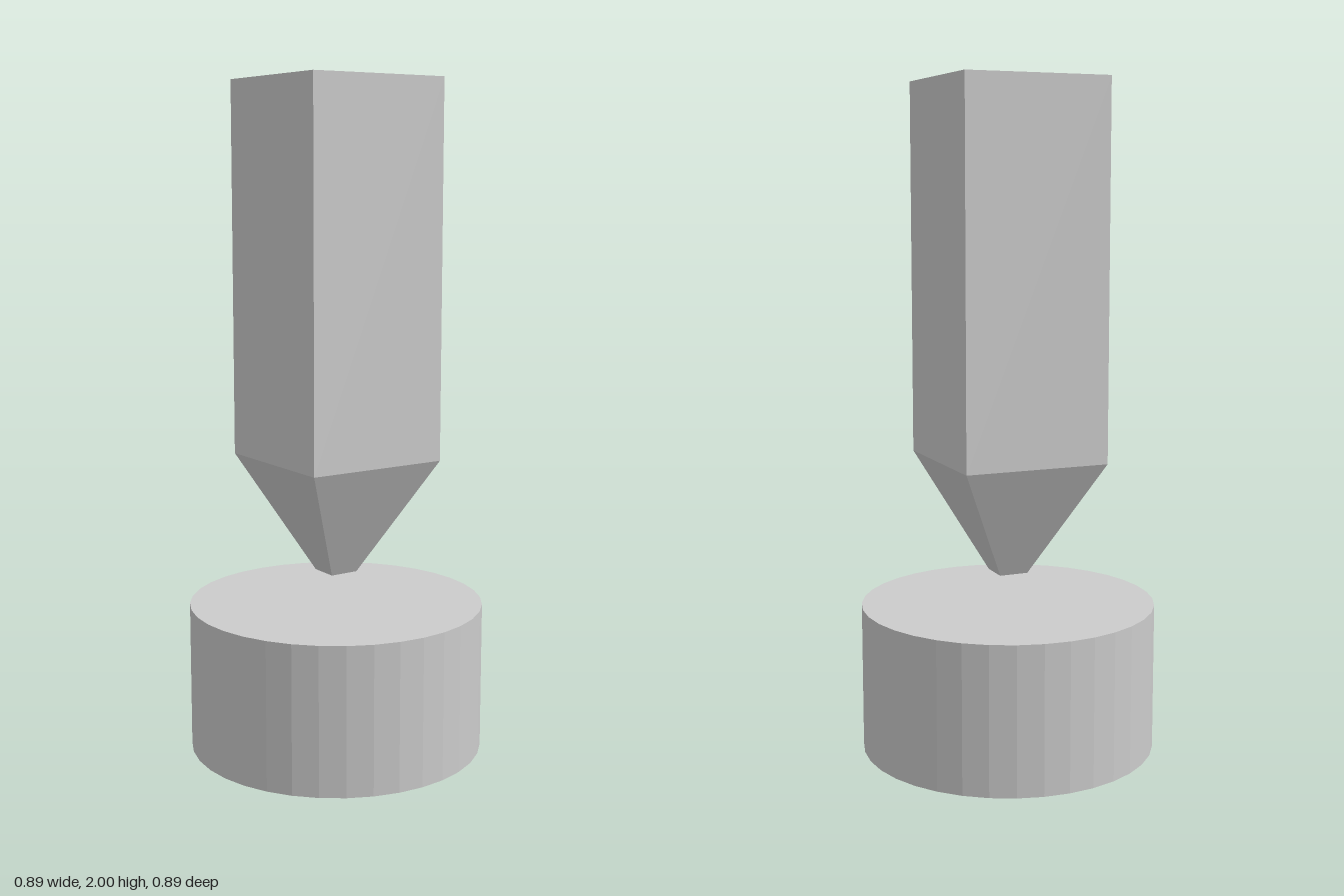
import * as THREE from 'three';

const material = new THREE.MeshStandardMaterial({ color: 0xcccccc, flatShading: true });

function addPart(group, name, geometry, y) {
  const mesh = new THREE.Mesh(geometry, material);
  mesh.name = name;
  mesh.position.y = y;
  group.add(mesh);
}

// Square prism that tapers to a smaller square at its lower end
function taperedBlock(topWidth, bottomWidth, height) {
  const geometry = new THREE.BoxGeometry(topWidth, height, topWidth);
  const p = geometry.attributes.position;
  const k = bottomWidth / topWidth;
  for (let i = 0; i < p.count; i++) {
    if (p.getY(i) < 0) p.setXYZ(i, p.getX(i) * k, p.getY(i), p.getZ(i) * k);
  }
  geometry.computeVertexNormals();
  return geometry;
}

export function createModel() {
  const group = new THREE.Group();
  group.name = 'punchOverBase';

  const radius = 0.444, width = 0.444;
  const shaftBottom = 0.889, tipBottom = 0.538;

  // Round faceted base
  addPart(group, 'base', new THREE.CylinderGeometry(radius, radius, 0.444, 36), 0.222);

  // Square shaft
  addPart(group, 'shaft', new THREE.BoxGeometry(width, 2 - shaftBottom, width), (2 + shaftBottom) / 2);

  // Tapered tip hovering just above the base
  addPart(group, 'tip', taperedBlock(width, 0.089, shaftBottom - tipBottom), (shaftBottom + tipBottom) / 2);

  return group;
}
